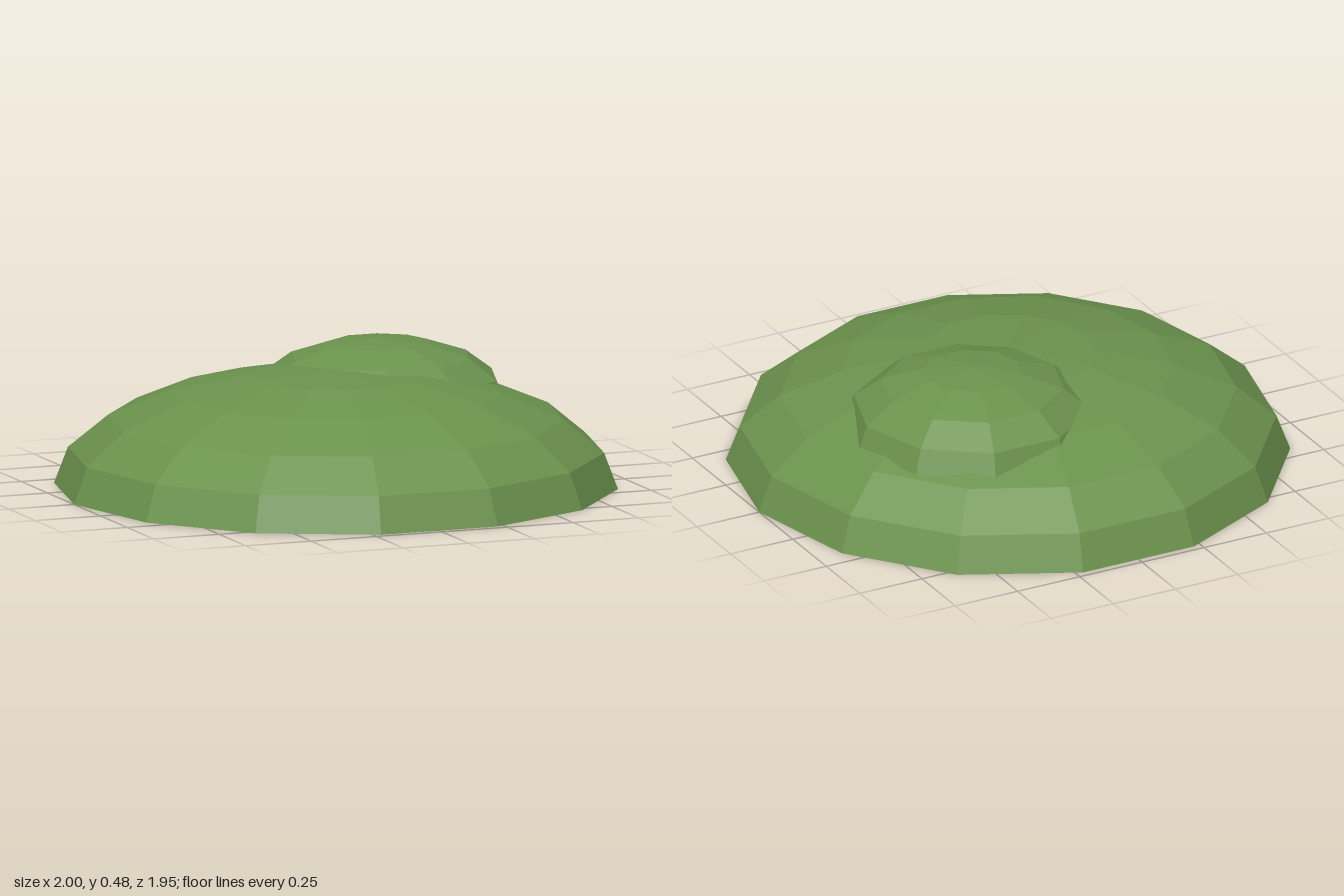
import * as THREE from 'three';

const grass = new THREE.MeshStandardMaterial({ color: 0x6b924d, flatShading: true });
grass.name = 'grass green';

// Flattened faceted half-sphere, closed underneath by a flat disc
function makeMound(name, radius, height, sides, rings) {
  const mound = new THREE.Group();
  mound.name = name;

  const dome = new THREE.Mesh(
    new THREE.SphereGeometry(1, sides, rings, 0, Math.PI * 2, 0, Math.PI / 2), grass);
  dome.geometry.scale(radius, height, radius);
  dome.name = name + 'Dome';

  const base = new THREE.Mesh(new THREE.CircleGeometry(radius, sides), grass);
  base.geometry.rotateX(Math.PI / 2);
  base.name = name + 'Base';

  mound.add(dome, base);
  return mound;
}

export function createModel() {
  const model = new THREE.Group();
  model.name = 'grassyHill';

  // Broad hill
  model.add(makeMound('hill', 1, 0.42, 14, 5));

  // Smaller knoll sunk into the back left slope
  const knoll = makeMound('knoll', 0.46, 0.225, 10, 4);
  knoll.position.set(0.25, 0.26, -0.2);
  model.add(knoll);

  return model;
}
